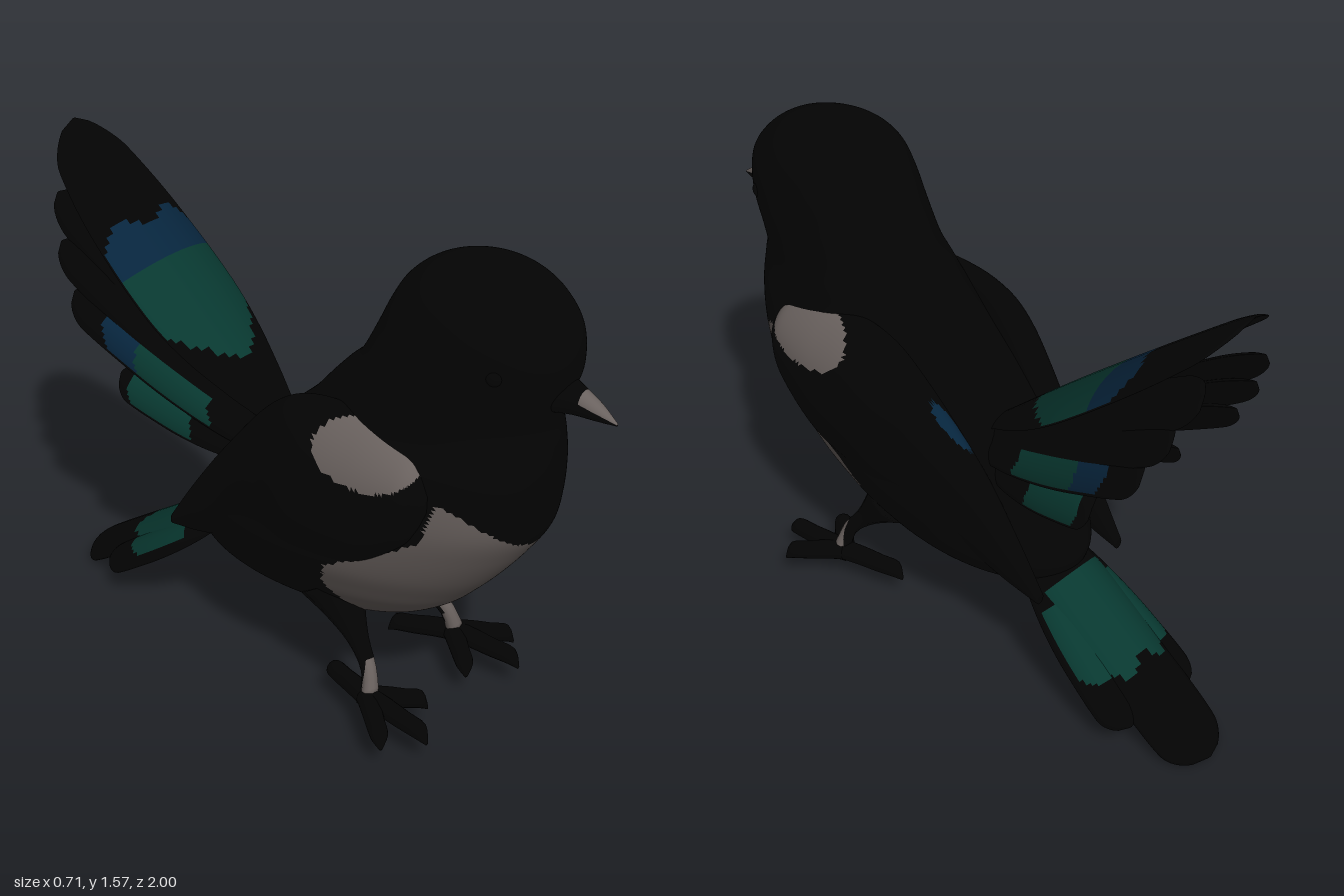
import * as THREE from 'three';

const mat = (name, color) => {
  const m = new THREE.MeshStandardMaterial({ color });
  m.name = name;
  return m;
};

// Smooth interpolation through a list of number rows, u in 0..1
function sampleRows(rows, u) {
  const f = u * (rows.length - 1);
  const i = Math.min(Math.floor(f), rows.length - 2);
  const k = f - i;
  const at = (j) => rows[Math.max(0, Math.min(rows.length - 1, j))];
  return rows[i].map((_, c) => {
    const a = at(i - 1)[c], b = at(i)[c], d = at(i + 1)[c], e = at(i + 2)[c];
    return b + 0.5 * k * (d - a + k * (2 * a - 5 * b + 4 * d - e + k * (3 * (b - d) + e - a)));
  });
}

// Closed skin over cross-sections; rule(p, u, t) picks the material index
function loft(name, rows, ring, steps, sides, mats, rule = () => 0) {
  const pos = [];
  const buckets = mats.map(() => []);
  for (let i = 0; i <= steps; i++) {
    const row = sampleRows(rows, i / steps);
    for (let j = 0; j < sides; j++) pos.push(...ring(row, (j / sides) * Math.PI * 2, i / steps));
  }
  const point = (i) => new THREE.Vector3().fromArray(pos, i * 3);
  const add = (a, b, c, u, t) => {
    const mid = point(a).add(point(b)).add(point(c)).divideScalar(3);
    buckets[rule(mid, u, t)].push(a, b, c);
  };
  for (let i = 0; i < steps; i++) {
    for (let j = 0; j < sides; j++) {
      const a = i * sides + j, b = i * sides + ((j + 1) % sides);
      const u = (i + 0.5) / steps, t = ((j + 0.5) / sides) * Math.PI * 2;
      add(a, b, a + sides, u, t);
      add(b, b + sides, a + sides, u, t);
    }
  }
  // End caps
  for (const end of [0, 1]) {
    const base = end * steps * sides;
    const mid = new THREE.Vector3();
    for (let j = 0; j < sides; j++) mid.add(point(base + j));
    mid.divideScalar(sides);
    const c = pos.length / 3;
    pos.push(mid.x, mid.y, mid.z);
    for (let j = 0; j < sides; j++) {
      const a = base + j, b = base + ((j + 1) % sides);
      const t = ((j + 0.5) / sides) * Math.PI * 2;
      if (end) add(a, b, c, 1, t);
      else add(b, a, c, 0, t);
    }
  }
  // Turn the skin outwards
  let volume = 0;
  for (const l of buckets)
    for (let i = 0; i < l.length; i += 3) volume += point(l[i]).dot(point(l[i + 1]).cross(point(l[i + 2])));
  if (volume < 0)
    for (const l of buckets)
      for (let i = 0; i < l.length; i += 3) [l[i], l[i + 1]] = [l[i + 1], l[i]];
  const geo = new THREE.BufferGeometry();
  geo.setAttribute('position', new THREE.Float32BufferAttribute(pos, 3));
  geo.setIndex(buckets.flat());
  let start = 0;
  buckets.forEach((l, i) => {
    if (l.length) geo.addGroup(start, l.length, i);
    start += l.length;
  });
  geo.computeVertexNormals();
  const mesh = new THREE.Mesh(geo, mats);
  mesh.name = name;
  return mesh;
}

// Flat cambered feather from a to b with a rounded tip and its upper face towards facing;
// rule gets u along and v across the upper face
function feather(name, a, b, facing, width, thick, profile, mats, rule = () => 0) {
  const A = new THREE.Vector3(...a), B = new THREE.Vector3(...b);
  const dir = B.clone().sub(A).normalize();
  const side = dir.clone().cross(new THREE.Vector3(...facing)).normalize();
  const normal = side.clone().cross(dir);
  const ring = ([k], t, u) => {
    const round = Math.sqrt(Math.max(0.003, 1 - Math.max(0, (u - 0.88) / 0.12) ** 2));
    const w = k * round * width, c = Math.cos(t);
    return A.clone().lerp(B, u).addScaledVector(side, w * c)
      .addScaledVector(normal, thick * k * round * Math.sin(t) - 0.25 * w * c * c).toArray();
  };
  return loft(name, profile.map((k) => [k]), ring, 56, 32, mats,
    (p, u, t) => (Math.sin(t) > 0 ? rule(u, Math.cos(t)) : 0));
}

// Tapered limb through rows of x, y, z, radius
function limb(name, rows, s, mats, rule) {
  const d = new THREE.Vector3(...rows.at(-1)).sub(new THREE.Vector3(...rows[0])).normalize();
  const e = new THREE.Vector3(0, 1, 0).cross(d).normalize();
  const f = d.clone().cross(e);
  const ring = ([x, y, z, r], t) => {
    const p = new THREE.Vector3(x, y, z).addScaledVector(e, r * Math.cos(t)).addScaledVector(f, r * Math.sin(t));
    return [p.x * s, p.y, p.z];
  };
  return loft(name, rows, ring, 12, 12, mats, rule);
}

export function createModel() {
  const model = new THREE.Group();
  const mats = [mat('black plumage', 0x030303), mat('pale plumage', 0x69615e),
    mat('green sheen', 0x083830), mat('blue sheen', 0x07253d)];

  // Body and head in level slices: y, back z, front z, half width
  const slices = [[0.33, -0.05, 0.28, 0.05], [0.345, -0.25, 0.34, 0.14], [0.38, -0.4, 0.43, 0.2],
    [0.45, -0.45, 0.53, 0.25], [0.52, -0.42, 0.6, 0.28], [0.6, -0.37, 0.67, 0.305],
    [0.7, -0.29, 0.745, 0.315], [0.8, -0.2, 0.805, 0.315], [0.9, -0.1, 0.825, 0.305],
    [1.0, 0.01, 0.83, 0.28], [1.08, 0.08, 0.825, 0.25], [1.14, 0.135, 0.815, 0.237],
    [1.2, 0.195, 0.83, 0.23], [1.3, 0.25, 0.865, 0.225], [1.4, 0.3, 0.858, 0.215],
    [1.47, 0.345, 0.81, 0.192], [1.52, 0.405, 0.745, 0.145], [1.55, 0.48, 0.67, 0.078], [1.56, 0.55, 0.61, 0.01]];
  const bib = ({ x, y, z }) => {
    const top = Math.min(0.94, 0.76 + 0.18 * (x / 0.26) ** 2);
    const back = y > 0.78 ? 0.56 + (y - 0.78) * 0.35
      : y > 0.6 ? 0.25 + (y - 0.6) * 1.72 : 0.22 + Math.abs(y - 0.52) * 0.4;
    return y < top && z > back ? 1 : 0;
  };
  model.add(loft('bodyAndHead', slices, ([y, zb, zf, w], t) => [
    w * Math.sin(t) * (1 - 0.06 * Math.cos(t)), y, (zb + zf) / 2 + ((zf - zb) / 2) * Math.cos(t),
  ], 150, 180, mats, bib));

  // Beak: z, y, half height, half width
  model.add(loft('beak', [[0.8, 1.245, 0.065, 0.07], [0.87, 1.238, 0.046, 0.042],
    [0.94, 1.222, 0.026, 0.026], [1, 1.203, 0.004, 0.004]],
  ([z, y, h, w], t) => [w * Math.cos(t), y + h * Math.sin(t), z], 24, 24, mats,
  (p, u, t) => (u > 0.45 && Math.sin(t) > 0.2 ? 1 : 0)));

  // Folded wings: z, y, half height, x, half thickness, inward lean of the upper edge
  const wing = [[0.585, 0.92, 0.03, 0.25, 0.02, 0.01], [0.555, 0.92, 0.1, 0.255, 0.045, 0.028],
    [0.5, 0.905, 0.155, 0.265, 0.063, 0.043], [0.35, 0.87, 0.225, 0.27, 0.08, 0.06],
    [0.15, 0.84, 0.25, 0.26, 0.088, 0.05], [0, 0.78, 0.235, 0.23, 0.08, 0.015], [-0.2, 0.63, 0.165, 0.19, 0.06, 0],
    [-0.35, 0.51, 0.09, 0.18, 0.035, 0], [-0.46, 0.42, 0.02, 0.175, 0.015, 0]];
  const plume = [0.5, 0.75, 0.92, 1, 1, 0.96, 0.85];

  for (const s of [1, -1]) {
    const side = s > 0 ? 'left' : 'right';
    model.add(loft(side + 'Wing', wing, ([z, y, h, x, d, lean], t) => [
      s * (x + d * Math.sin(t) - lean * Math.max(0, Math.cos(t)) ** 2), y + h * Math.cos(t), z,
    ], 100, 88, mats, (p, u, t) => {
      if (Math.sin(t) > -0.1 && ((p.z - 0.39) / 0.17) ** 2 + ((p.y - 1.015) / 0.085) ** 2 < 1) return 1;
      const blue = ((p.z + 0.12) / 0.06) ** 2 + ((p.x - 0.2 - (p.z + 0.12) * 0.35) / 0.022) ** 2 < 1;
      return blue && Math.cos(t) > 0 ? 3 : 0;
    }));

    // Eyes
    const eye = new THREE.Mesh(new THREE.SphereGeometry(0.028, 16, 12), mats[0]);
    eye.position.set(s * 0.165, 1.32, 0.72);
    eye.name = side + 'Eye';
    model.add(eye);

    // Legs and feet
    model.add(limb(side + 'Leg', [[0.15, 0.43, 0.17, 0.1], [0.165, 0.36, 0.235, 0.06],
      [0.18, 0.29, 0.295, 0.032], [0.2, 0.22, 0.35, 0.024], [0.22, 0.14, 0.37, 0.03]], s, mats,
    (p, u) => (u > 0.7 && u < 0.97 && p.z > 0.352 ? 1 : 0)));
    for (const [x, z] of [[0.345, 0.51], [0.24, 0.6], [0.1, 0.5], [0.15, 0.16]]) {
      const on = (k, y, r) => [0.22 + (x - 0.22) * k, y, 0.36 + (z - 0.36) * k, r];
      model.add(limb(side + 'Toe', [on(-0.05, 0.135, 0.034), on(0.3, 0.132, 0.032), on(0.6, 0.125, 0.03),
        on(0.88, 0.12, 0.027), on(1, 0.088, 0.005)], s, mats));
    }

    // Side feathers of the raised tail: start, end, half width, green from, blue from, blue to
    [
      [[0.06, 0.81, -0.15], [0.125, 1.39, -0.945], 0.08, 2, 2, 2],
      [[0.075, 0.79, -0.15], [0.17, 1.255, -0.895], 0.08, 2, 2, 2],
      [[0.095, 0.77, -0.15], [0.195, 1.115, -0.825], 0.085, 0.27, 0.65, 0.82],
      [[0.1, 0.73, -0.18], [0.185, 0.885, -0.65], 0.08, 0.45, 0.92, 0.92],
    ].forEach(([a, b, w, green, blue, end], i) => {
      model.add(feather(side + 'TailSideFeather' + (i + 1), [a[0] * s, a[1], a[2]], [b[0] * s, b[1], b[2]],
        [s * 0.68, 0.48, 0.52], w, 0.012, plume, mats, (u, v) => {
          const k = u + 0.08 * v * v;
          return k < green || Math.abs(v) > 0.9 ? 0 : k < blue ? 2 : k < end ? 3 : 0;
        }));
    });

    // Side feathers of the lower tail
    model.add(feather(side + 'LowerTailFeather', [s * 0.08, 0.42, -0.34], [s * 0.135, 0.1, -0.8],
      [s * 0.25, 0.8, -0.55], 0.08, 0.035, plume, mats,
      (u, v) => (u > 0.25 && u < 0.74 - 0.12 * v * v && Math.abs(v) < 0.8 ? 2 : 0)));
  }

  // Broad top of the raised tail
  model.add(feather('raisedTailTop', [0, 0.83, -0.13], [0, 1.585, -0.985], [0, 0.754, 0.657],
    0.195, 0.014, [0.35, 0.6, 0.83, 0.97, 1, 0.97, 0.9, 0.76, 0.55], mats,
    (u, v) => {
      if (Math.abs(v) > 0.97 || u < 0.2 + 0.15 * v * v) return 0;
      return u < 0.53 ? 2 : u < 0.62 + 0.06 * Math.abs(Math.sin(Math.PI * v)) ? 3 : 0;
    }));

  // Long middle feather of the lower tail
  model.add(feather('lowerTailMiddle', [0, 0.46, -0.34], [0, 0.02, -0.998], [0, 0.835, -0.55],
    0.128, 0.038, [0.8, 0.95, 1, 1, 1, 0.98, 0.88], mats,
    (u, v) => (u > 0.15 && u < 0.5 + 0.09 * Math.abs(Math.sin(Math.PI * v)) ? 2 : 0)));

  return model;
}
